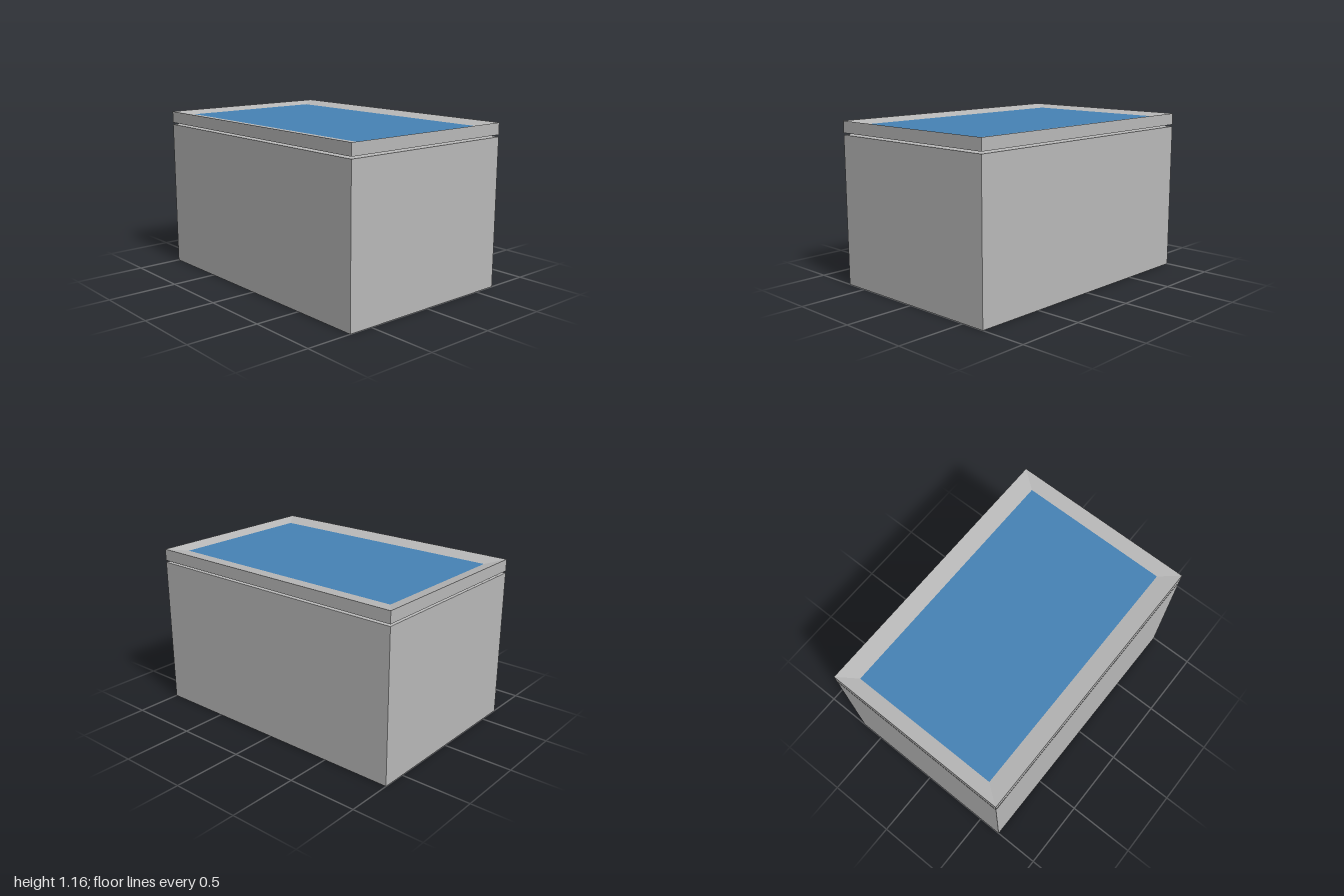
import * as THREE from 'three';

const WIDTH = 2, DEPTH = 1.345;
const BASE_TOP = 1.066, LID_BOTTOM = 1.08, LID_TOP = 1.163, PANEL_Y = 1.141;
const PANEL_W = 1.8, PANEL_D = 1.08;

// Four corners of a level rectangle, counter-clockwise seen from above
function ring(w, d, y) {
  const x = w / 2, z = d / 2;
  return [[-x, y, z], [x, y, z], [x, y, -z], [-x, y, -z]];
}

// Flat-shaded skin joining successive rectangles, with the first one capped below
function skin(rings) {
  const points = [];
  const quad = (a, b, c, d) => points.push(...a, ...b, ...c, ...a, ...c, ...d);
  for (let r = 0; r < rings.length - 1; r++) {
    for (let i = 0; i < 4; i++) {
      const j = (i + 1) % 4;
      quad(rings[r][i], rings[r][j], rings[r + 1][j], rings[r + 1][i]);
    }
  }
  const [a, b, c, d] = rings[0];
  quad(d, c, b, a);
  const geometry = new THREE.BufferGeometry();
  geometry.setAttribute('position', new THREE.Float32BufferAttribute(points, 3));
  geometry.computeVertexNormals();
  return geometry;
}

export function createModel() {
  const model = new THREE.Group();
  model.name = 'box';

  const gray = new THREE.MeshStandardMaterial({ color: 0xb8b8b8 });
  gray.name = 'light gray';
  const blue = new THREE.MeshStandardMaterial({ color: 0x4682b4 });
  blue.name = 'steel blue';

  const add = (name, geometry, material, y = 0) => {
    const mesh = new THREE.Mesh(geometry, material);
    mesh.name = name;
    mesh.position.y = y;
    model.add(mesh);
  };

  // Main body
  add('body', new THREE.BoxGeometry(WIDTH, BASE_TOP, DEPTH), gray, BASE_TOP / 2);

  // Lid, separated by a thin gap, its rim sloping inward to the panel
  add('lid', skin([
    ring(WIDTH, DEPTH, LID_BOTTOM),
    ring(WIDTH, DEPTH, LID_TOP),
    ring(PANEL_W, PANEL_D, PANEL_Y),
  ]), gray);

  // Sunken panel in the lid
  add('panel', new THREE.PlaneGeometry(PANEL_W, PANEL_D).rotateX(-Math.PI / 2), blue, PANEL_Y);

  return model;
}
